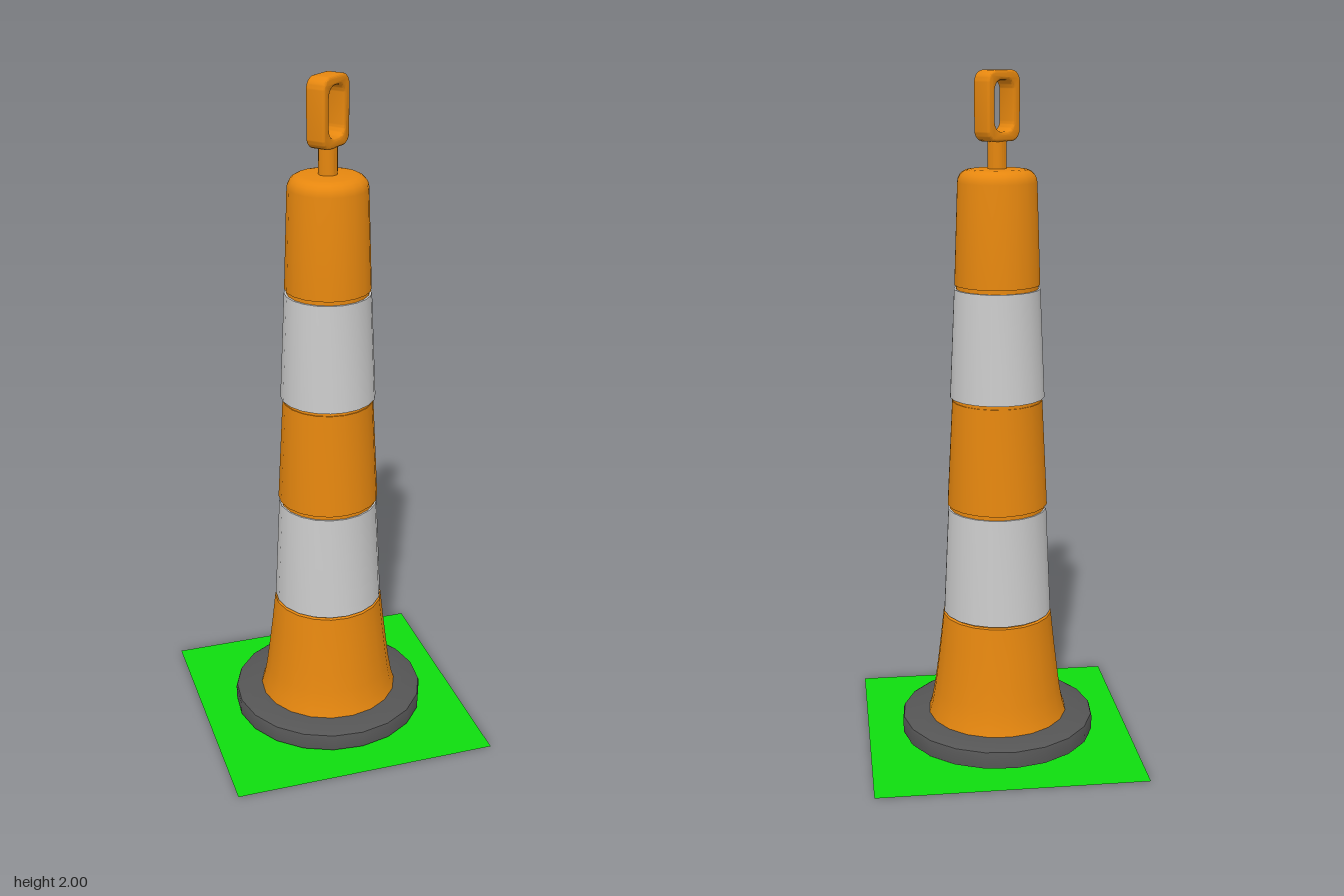
import * as THREE from 'three';
import { toCreasedNormals } from 'three/addons/utils/BufferGeometryUtils.js';

const paint = (color) => new THREE.MeshStandardMaterial({ color });
const ORANGE = paint(0xe6870f);
const WHITE = paint(0xcccccc);
const RUBBER = paint(0x555555);
const GREEN = new THREE.MeshStandardMaterial({ color: 0x0fdc0f, side: THREE.DoubleSide });

function add(parent, name, geometry, material) {
  const mesh = new THREE.Mesh(geometry, material);
  mesh.name = name;
  parent.add(mesh);
  return mesh;
}

// Turned part with 20 sides; profile runs from bottom to top as [radius, y]
function turned(parent, name, profile, material) {
  const points = profile.map(([r, y]) => new THREE.Vector2(r, y));
  return add(parent, name, toCreasedNormals(new THREE.LatheGeometry(points, 20), 0.6), material);
}

// Rounded rectangle outline centred on the origin
function roundedRect(target, w, h, r) {
  const x = w / 2, y = h / 2;
  target.moveTo(x, -y + r);
  target.lineTo(x, y - r);
  target.absarc(x - r, y - r, r, 0, Math.PI / 2);
  target.absarc(-x + r, y - r, r, Math.PI / 2, Math.PI);
  target.absarc(-x + r, -y + r, r, Math.PI, Math.PI * 1.5);
  target.absarc(x - r, -y + r, r, Math.PI * 1.5, Math.PI * 2);
  return target;
}

export function createModel() {
  const model = new THREE.Group();
  model.name = 'trafficChannelizer';

  // Ground sheet
  add(model, 'groundSheet', new THREE.PlaneGeometry(0.8, 0.8).rotateX(-Math.PI / 2), GREEN);

  const cone = new THREE.Group();
  cone.name = 'cone';
  cone.rotation.y = THREE.MathUtils.degToRad(40);
  model.add(cone);

  // Weighted ring at the foot
  turned(cone, 'base', [
    [0, 0.01], [0.294, 0.01], [0.295, 0.052], [0.292, 0.06], [0.284, 0.065], [0.2, 0.069], [0, 0.069],
  ], RUBBER);

  // Flared skirt
  turned(cone, 'skirt', [
    [0.213, 0.066], [0.203, 0.1], [0.194, 0.15], [0.186, 0.21], [0.175, 0.3], [0.165, 0.393], [0.15, 0.395],
  ], ORANGE);

  // Stacked bands: [name, bottom y, bottom radius, top y, top radius, material]
  const bands = [
    ['lowerReflector', 0.4, 0.163, 0.725, 0.148, WHITE],
    ['middleBand', 0.738, 0.15, 1.055, 0.134, ORANGE],
    ['upperReflector', 1.066, 0.14, 1.386, 0.126, WHITE],
  ];
  for (const [name, y0, r0, y1, r1, material] of bands) {
    turned(cone, name, [[r0 - 0.015, y0], [r0, y0], [r1, y1], [r1 - 0.015, y1]], material);
  }

  // Recessed core seen in the grooves between bands
  turned(cone, 'core', [[0.155, 0.38], [0.119, 1.41]], ORANGE);

  // Top section with a rounded shoulder
  const shoulder = [];
  for (let i = 0; i <= 5; i++) {
    const a = (i / 5) * Math.PI / 2;
    shoulder.push([0.078 + 0.037 * Math.cos(a), 1.69 + 0.037 * Math.sin(a)]);
  }
  turned(cone, 'topSection', [[0.11, 1.398], [0.125, 1.398], ...shoulder, [0, 1.729]], ORANGE);

  // Handle post and loop
  turned(cone, 'handlePost', [[0.027, 1.72], [0.027, 1.815]], ORANGE);
  const bevel = 0.007, thickness = 0.06;
  const outline = roundedRect(new THREE.Shape(), 0.132 - 2 * bevel, 0.196 - 2 * bevel, 0.026);
  outline.holes.push(roundedRect(new THREE.Path(), 0.076 + 2 * bevel, 0.142 + 2 * bevel, 0.036));
  const loop = new THREE.ExtrudeGeometry(outline, {
    depth: thickness - 2 * bevel, bevelThickness: bevel, bevelSize: bevel, bevelSegments: 3, curveSegments: 6,
  });
  loop.translate(0, 1.902, -thickness / 2 + bevel);
  add(cone, 'handleLoop', toCreasedNormals(loop, 0.6), ORANGE);

  return model;
}
